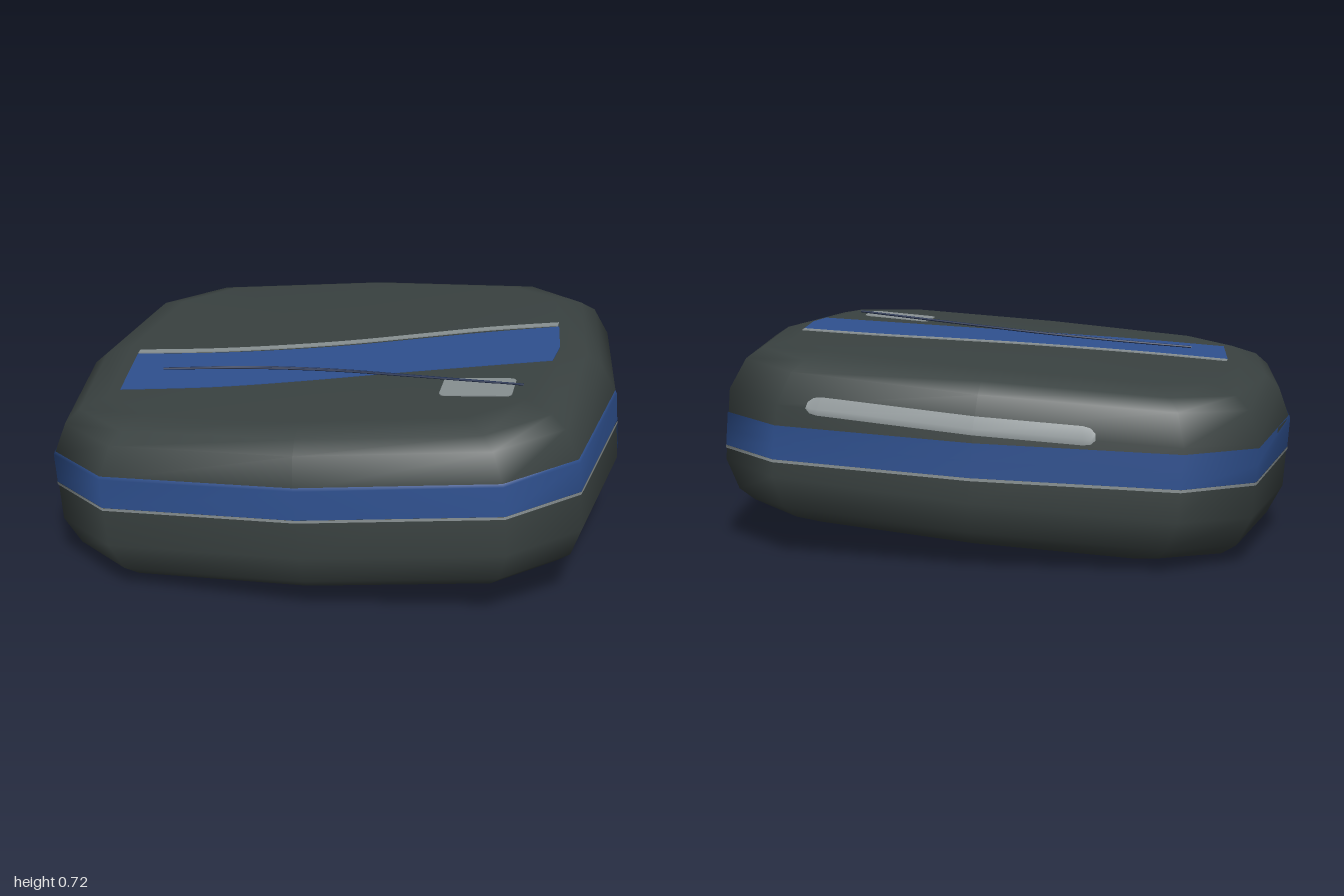
import * as THREE from 'three';

const mat = (name, color) => {
  const m = new THREE.MeshStandardMaterial({ color, side: THREE.DoubleSide });
  m.name = name;
  return m;
};

// Plan outline: one quadrant mirrored into twelve corners, starting at +x and running past +z
const QUAD = [[0.918, 0.595], [0.688, 0.795]];
const flip = (sx, sz, pts) => pts.map(([x, z]) => [x * sx, z * sz]);
const REV = [...QUAD].reverse();
const PLAN = [
  [0.994, 0], ...QUAD, [0, 0.857], ...flip(-1, 1, REV),
  [-0.994, 0], ...flip(-1, -1, QUAD), [0, -0.857], ...flip(1, -1, REV),
];

// Side profile: [height, plan scale], mirrored below
const PROFILE = [[0.125, 1], [0.232, 0.952], [0.272, 0.9], [0.3, 0.8]];
const scaleAt = (y) => {
  const h = Math.abs(y);
  if (h <= 0.125) return 1;
  return 1 - (h - 0.125) * 0.45;
};

function gridGeometry(columns, closed) {
  const rows = columns[0].length, pos = columns.flat(2), idx = [];
  const n = columns.length;
  for (let j = 0; j < (closed ? n : n - 1); j++) {
    for (let i = 0; i < rows - 1; i++) {
      const a = j * rows + i, b = ((j + 1) % n) * rows + i;
      idx.push(a, a + 1, b, b, a + 1, b + 1);
    }
  }
  return { pos, idx };
}

function toGeometry({ pos, idx }) {
  const g = new THREE.BufferGeometry();
  g.setAttribute('position', new THREE.Float32BufferAttribute(pos, 3));
  g.setIndex(idx);
  g.computeVertexNormals();
  return g;
}

function shellGeometry() {
  const rings = [...[...PROFILE].reverse().map(([y, s]) => [-y, s]), ...PROFILE];
  const grid = gridGeometry(PLAN.map(([x, z]) => rings.map(([y, s]) => [x * s, y, z * s])), true);
  // Flat caps
  const r = rings.length, n = PLAN.length, c = grid.pos.length / 3;
  grid.pos.push(0, -0.3, 0, 0, 0.3, 0);
  for (let j = 0; j < n; j++) {
    const k = (j + 1) % n;
    grid.idx.push(c, j * r, k * r, c + 1, k * r + r - 1, j * r + r - 1);
  }
  return toGeometry(grid);
}

// Thin skin lying on the side wall; each column is [x, z, low, high]
function wallStrip(cols, lift) {
  return toGeometry(gridGeometry(cols.map(([x, z, lo, hi]) => {
    const mid = hi > 0.125 && lo < 0.125 ? 0.125 : (lo + hi) / 2;
    return [lo, mid, hi].map((y) => {
      const s = scaleAt(y) + lift;
      return [x * s, y, z * s];
    });
  }), false));
}

// Thin plate lying on the top or bottom face, from an outline in x and z
function plate(shape, thick, side) {
  const g = new THREE.ExtrudeGeometry(shape, { depth: thick, bevelEnabled: false, curveSegments: 6 });
  g.rotateX(-Math.PI / 2);
  g.translate(0.022, side > 0 ? 0.299 : -0.299 - thick, 0);
  return g;
}

const outline = (pts) => new THREE.Shape(pts.map(([x, z]) => new THREE.Vector2(x, -z)));
const smooth = (pts, n = 24) =>
  new THREE.SplineCurve(pts.map(([x, z]) => new THREE.Vector2(x, z))).getPoints(n).map((p) => [p.x, p.y]);

function roundedRect(x0, z0, x1, z1, r) {
  const s = new THREE.Shape();
  s.absarc(x1 - r, -z0 - r, r, 0, Math.PI / 2);
  s.absarc(x0 + r, -z0 - r, r, Math.PI / 2, Math.PI);
  s.absarc(x0 + r, -z1 + r, r, Math.PI, Math.PI * 1.5);
  s.absarc(x1 - r, -z1 + r, r, Math.PI * 1.5, Math.PI * 2);
  return s;
}

export function createModel() {
  const charcoal = mat('charcoal', 0x3a4241);
  const blue = mat('blue', 0x2f5190);
  const silver = mat('silver', 0x899193);
  const navy = mat('navy', 0x1b2b4e);

  const model = new THREE.Group();
  model.name = 'pebbleCase';
  const tilted = new THREE.Group();
  tilted.name = 'tiltedBody';
  tilted.position.y = 0.36;
  tilted.rotation.z = 0.0758;
  model.add(tilted);
  const add = (name, geometry, material) => {
    const m = new THREE.Mesh(geometry, material);
    m.name = name;
    tilted.add(m);
  };

  add('shell', shellGeometry(), charcoal);

  // Side band: level round the front, dropping along the back to a step at +x
  const loop = [...PLAN, PLAN[0]];
  let run = 0;
  const runs = loop.map((p, i) => (run += i ? Math.hypot(p[0] - loop[i - 1][0], p[1] - loop[i - 1][1]) : 0));
  const drop = runs.map((d) => -0.115 * Math.max(0, (d / run - 0.5) * 2));
  const band = (lo, hi) => loop.map(([x, z], i) => [x, z, lo + drop[i], hi + drop[i]]);
  add('sideBand', wallStrip(band(0.019, 0.136), 0.003), blue);
  add('sideBandTrim', wallStrip(band(0.009, 0.019), 0.004), silver);

  // Rounded bar on the back wall
  const bar = [[-0.4, 0.02], [-0.385, 0.005], [-0.36, 0], [0, 0], [0.54, 0], [0.565, 0.005], [0.58, 0.02]]
    .map(([x, inset]) => [x, -0.857 + 0.062 * Math.abs(x) / 0.688, 0.105 + inset, 0.166 - inset]);
  add('backBar', wallStrip(bar, 0.005), silver);

  // Curved stripe, trim and badge on both faces
  const upper = smooth([[-0.77, 0.085], [-0.5, 0.075], [-0.25, 0.045], [0, -0.003], [0.25, -0.072], [0.5, -0.142], [0.755, -0.2]]);
  const lower = smooth([[0.765, 0.13], [0.5, 0.19], [0.2, 0.26], [-0.1, 0.335], [-0.4, 0.395], [-0.73, 0.425]]);
  const trimLow = smooth([[-0.77, 0.08], [-0.5, 0.066], [-0.25, 0.032], [0, -0.018], [0.25, -0.088], [0.5, -0.16], [0.75, -0.208]]);
  const trimHigh = trimLow.map(([x, z]) => [x, z - 0.031]).reverse();
  for (const [face, side] of [['top', 1], ['bottom', -1]]) {
    add(face + 'Stripe', plate(outline([...upper, [0.778, 0], ...lower]), 0.003, side), blue);
    add(face + 'StripeTrim', plate(outline([...trimLow, ...trimHigh]), 0.005, side), silver);
    add(face + 'Badge', plate(roundedRect(0.41, 0.3, 0.66, 0.455, 0.022), 0.004, side), silver);
  }

  // Fine twin cord lying across the top
  const cords = [
    [[-0.62, 0.25], [-0.3, 0.228], [0, 0.245], [0.3, 0.295], [0.69, 0.365]],
    [[-0.62, 0.252], [-0.3, 0.238], [0, 0.255], [0.3, 0.3], [0.6, 0.35]],
  ];
  cords.forEach((pts, i) => {
    const curve = new THREE.CatmullRomCurve3(pts.map(([x, z], k) => new THREE.Vector3(x + 0.022, 0.311 - k * 0.001, z)));
    add('cord' + (i + 1), new THREE.TubeGeometry(curve, 32, 0.004, 6), navy);
  });
  return model;
}
